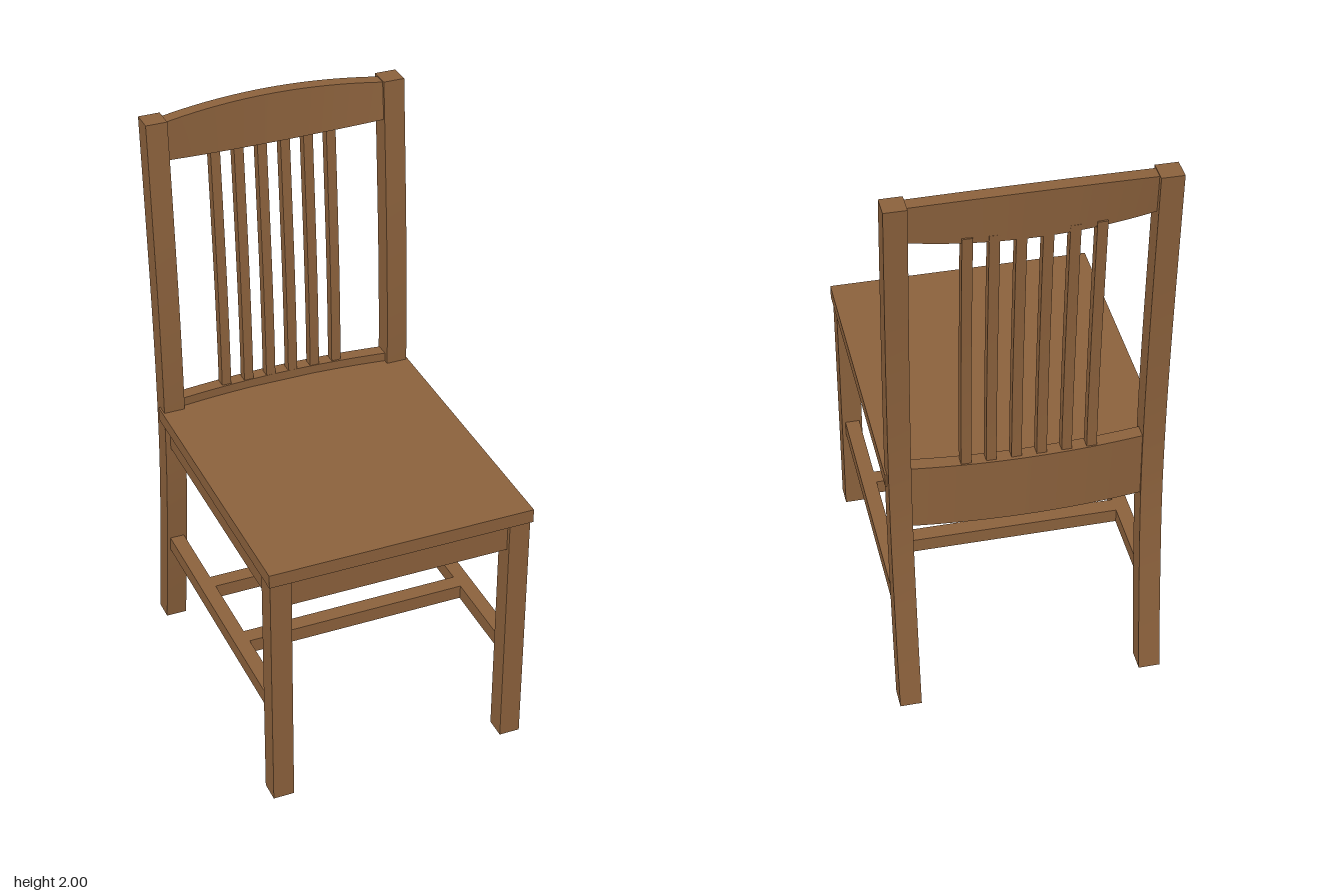
import * as THREE from 'three';

export function createModel() {
  const model = new THREE.Group();
  model.name = 'chair';
  const wood = new THREE.MeshStandardMaterial({ name: 'brown wood', color: 0x8b613c });

  const add = (name, geometry) => {
    const mesh = new THREE.Mesh(geometry, wood);
    mesh.name = name;
    model.add(mesh);
    return mesh;
  };

  // Box given by its limits on each axis
  const box = (name, [x0, x1], [y0, y1], [z0, z1]) =>
    add(name, new THREE.BoxGeometry(x1 - x0, y1 - y0, z1 - z0)
      .translate((x0 + x1) / 2, (y0 + y1) / 2, (z0 + z1) / 2));

  // Subdivided box whose vertices are moved by a rule
  const bentBox = (name, size, segments, rule) => {
    const geometry = new THREE.BoxGeometry(...size, ...segments);
    const pos = geometry.attributes.position;
    const v = new THREE.Vector3();
    for (let i = 0; i < pos.count; i++) {
      v.fromBufferAttribute(pos, i);
      rule(v);
      pos.setXYZ(i, v.x, v.y, v.z);
    }
    geometry.computeVertexNormals();
    return add(name, geometry);
  };

  // Centre line of the back posts: x holds depth, y holds height
  const postLine = new THREE.SplineCurve([
    [-0.534, 0], [-0.507, 0.2], [-0.485, 0.4], [-0.466, 0.6], [-0.456, 0.78],
    [-0.455, 1.0], [-0.461, 1.2], [-0.471, 1.4], [-0.491, 1.7], [-0.512, 1.987],
  ].map(([z, y]) => new THREE.Vector2(z, y))).getPoints(90);
  const postDepth = (y) => {
    const i = Math.max(1, postLine.findIndex((p) => p.y >= y - 1e-6));
    const a = postLine[i - 1], b = postLine[i];
    return THREE.MathUtils.mapLinear(y, a.y, b.y, a.x, b.x);
  };

  // Seat
  box('seat', [-0.456, 0.456], [0.88, 0.928], [-0.46, 0.57]);

  // Legs, back posts, side aprons and side stretchers
  for (const [side, s] of [['left', 1], ['right', -1]]) {
    const span = (a, b) => (s > 0 ? [a, b] : [-b, -a]);
    box(`${side} front leg`, span(0.378, 0.45), [0, 0.88], [0.487, 0.56]);
    bentBox(`${side} back post`, [0.073, 1.985, 0.074], [1, 24, 1], (v) => {
      v.x += s * 0.413;
      v.y += 1.985 / 2;
      v.z += postDepth(v.y);
    });
    box(`${side} apron`, span(0.39, 0.432), [0.78, 0.88], [-0.45, 0.5]);
    box(`${side} stretcher`, span(0.388, 0.438), [0.325, 0.378], [-0.48, 0.5]);
  }

  // Front apron and cross stretchers
  box('front apron', [-0.385, 0.385], [0.775, 0.88], [0.5, 0.545]);
  for (const z of [0.17, -0.155])
    box('cross stretcher', [-0.4, 0.4], [0.328, 0.378], [z - 0.028, z + 0.028]);

  // Bow of the back rails: 0 at the posts, 1 in the middle
  const bow = (x) => 1 - (x / 0.38) ** 2;

  bentBox('lower back rail', [0.76, 0.238, 0.048], [24, 1, 1], (v) => {
    v.z += -0.461 - 0.025 * bow(v.x);
    v.y += 0.84;
  });

  // Crest rail, arched above and below and leaning back
  bentBox('crest rail', [0.76, 0.13, 0.046], [24, 1, 1], (v) => {
    const top = v.y > 0;
    v.z += (top ? -0.508 : -0.496) - 0.026 * bow(v.x);
    v.y += 1.915 + (top ? 0.02 : -0.02) * bow(v.x);
  });

  // Back slats, following the curve of the posts
  for (let i = 0; i < 6; i++) {
    const x = -0.206 + i * 0.0815;
    bentBox('back slat', [0.033, 0.92, 0.035], [1, 12, 1], (v) => {
      v.x += x;
      v.y += 1.395;
      v.z += postDepth(v.y) - 0.025;
    });
  }

  return model;
}
